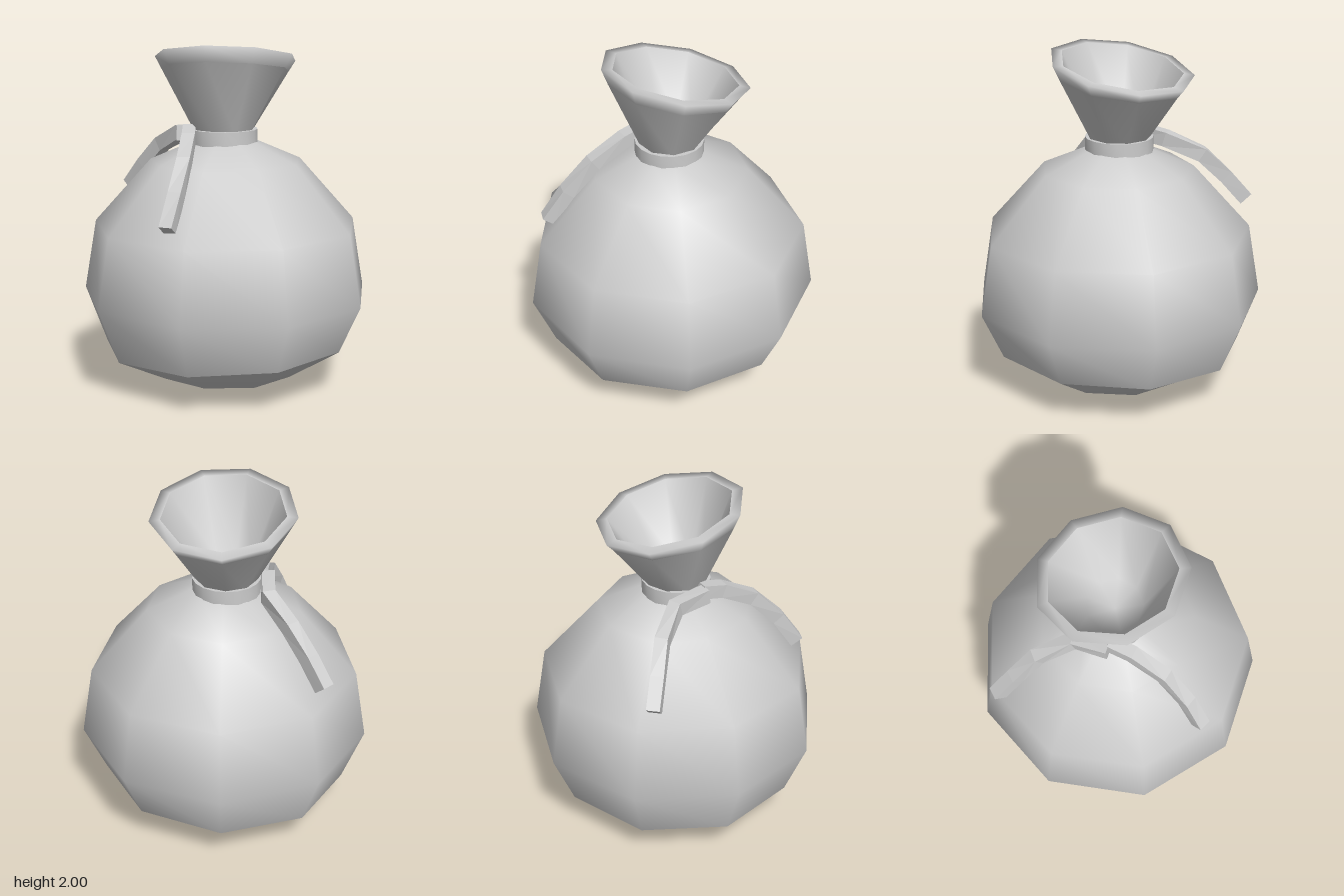
import * as THREE from 'three';
import { mergeVertices } from 'three/addons/utils/BufferGeometryUtils.js';

const SIDES = 9;
const NECK_Y = 1.5, RIM_Y = 1.91, BASE_Y = 0.23;
const grey = new THREE.MeshStandardMaterial({ color: 0xcccccc });

// Smooth turned surface, reshaped by a rule for each vertex.
// Listing the profile upwards faces it outwards, downwards inwards.
function turned(name, profile, rule = () => {}, sides = SIDES) {
  const points = profile.map(([r, y]) => new THREE.Vector2(r, y));
  const lathe = new THREE.LatheGeometry(points, sides, -Math.PI / 2);
  lathe.deleteAttribute('uv');
  lathe.deleteAttribute('normal');
  const geometry = mergeVertices(lathe);
  const p = geometry.attributes.position;
  const v = new THREE.Vector3();
  for (let i = 0; i < p.count; i++) {
    v.fromBufferAttribute(p, i);
    rule(v);
    p.setXYZ(i, v.x, v.y, v.z);
  }
  geometry.computeVertexNormals();
  const mesh = new THREE.Mesh(geometry, grey);
  mesh.name = name;
  return mesh;
}

// The base edge leans slightly up towards the left.
function leanBase(v) {
  if (Math.abs(v.y - BASE_Y) < 0.01) v.y += 0.035 * v.x;
}

// The mouth is high at the front and low at the back, unchanged at the neck.
function tiltMouth(v) {
  const t = THREE.MathUtils.clamp((v.y - NECK_Y) / (RIM_Y - NECK_Y), 0, 1);
  v.y += 0.22 * t * v.z;
  v.z -= 0.03 * t;
  v.x += 0.01 * t;
}

// Square cord: a box whose cross-sections follow a list of points.
function cord(name, path, width, height) {
  const points = path.map((v) => new THREE.Vector3(...v));
  const n = points.length - 1;
  const box = new THREE.BoxGeometry(width, height, 1, 1, 1, n);
  const p = box.attributes.position;
  const v = new THREE.Vector3();
  for (let i = 0; i < p.count; i++) {
    const k = Math.round((p.getZ(i) + 0.5) * n);
    const along = points[Math.min(k + 1, n)].clone().sub(points[Math.max(k - 1, 0)]).normalize();
    const side = new THREE.Vector3(0, 1, 0).cross(along).normalize();
    const up = along.clone().cross(side);
    v.copy(points[k]).addScaledVector(side, p.getX(i)).addScaledVector(up, p.getY(i));
    p.setXYZ(i, v.x, v.y, v.z);
  }
  const geometry = box.toNonIndexed();
  geometry.computeVertexNormals();
  const mesh = new THREE.Mesh(geometry, grey);
  mesh.name = name;
  return mesh;
}

export function createModel() {
  const model = new THREE.Group();
  model.name = 'tiedSack';

  // Rounded sack with a sharp edge round its underside
  const sack = new THREE.Group();
  sack.name = 'sackBody';
  sack.position.x = 0.015;
  sack.add(
    turned('underside', [[0, 0], [0.42, 0.06], [0.725, BASE_Y]], leanBase),
    turned('cloth', [[0.725, BASE_Y], [0.85, 0.53], [0.78, 0.94], [0.445, 1.315], [0.18, 1.43]], leanBase),
  );
  model.add(sack);

  // Band tied round the neck: wall, then top
  const band = new THREE.Group();
  band.name = 'neckBand';
  band.add(
    turned('bandWall', [[0.197, 1.41], [0.197, 1.5]], undefined, 18),
    turned('bandTop', [[0.197, 1.5], [0.15, 1.5]], undefined, 18),
  );
  model.add(band);

  // Flared mouth with a thick rim and a hollow inside
  const mouth = new THREE.Group();
  mouth.name = 'mouth';
  mouth.add(
    turned('flare', [[0.17, 1.48], [0.375, 1.84]], tiltMouth),
    turned('rim', [[0.375, 1.84], [0.415, 1.91], [0.352, 1.913]], tiltMouth),
    turned('lining', [[0.352, 1.913], [0.16, 1.54], [0, 1.5]], tiltMouth),
  );
  model.add(mouth);

  // Two loose cord ends draped over the shoulder
  model.add(
    cord('frontCord', [[-0.19, 1.49, 0.06], [-0.175, 1.46, 0.2], [-0.17, 1.36, 0.4], [-0.19, 1.2, 0.56], [-0.22, 1.03, 0.675]], 0.075, 0.08),
    cord('backCord', [[-0.225, 1.48, 0.08], [-0.26, 1.46, -0.12], [-0.41, 1.365, -0.27], [-0.53, 1.225, -0.35], [-0.63, 1.085, -0.42]], 0.075, 0.085),
  );
  return model;
}
